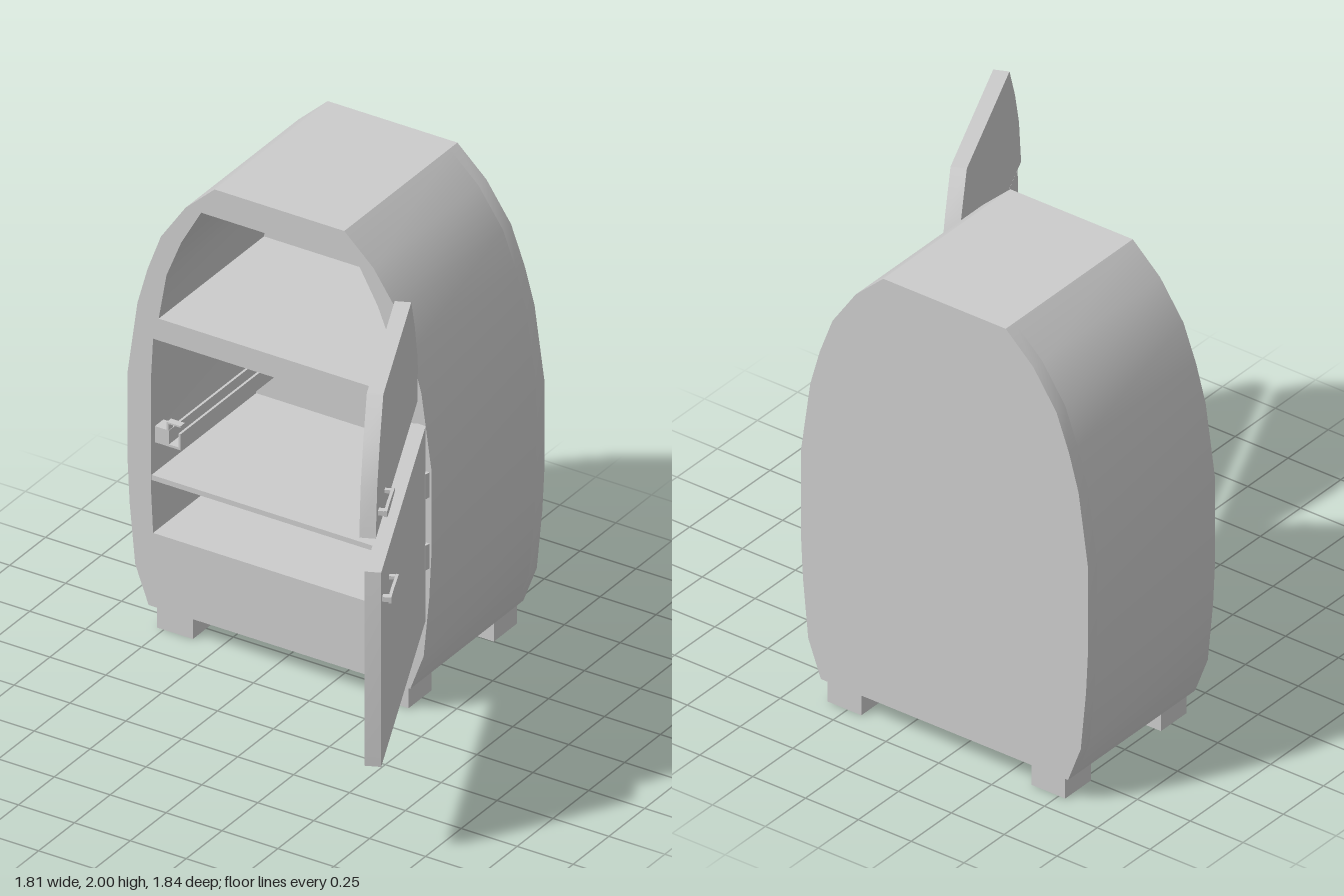
import * as THREE from 'three';
import { toCreasedNormals } from 'three/addons/utils/BufferGeometryUtils.js';

const grey = new THREE.MeshStandardMaterial({ color: 0xcccccc });

// Half widths and heights, from bottom to top
const SHELL = [[0.585, 0.1], [0.645, 0.26], [0.67, 0.52], [0.68, 0.72], [0.68, 1.08], [0.635, 1.4],
  [0.59, 1.56], [0.53, 1.72], [0.42, 1.88], [0.29, 2]];
const UPPER = [[0.54, 1.36], [0.505, 1.56], [0.44, 1.72], [0.35, 1.88]];
const LOWER = [[0.565, 0.42], [0.575, 0.62], [0.575, 1.08], [0.565, 1.265]];
const CX = -0.22, FRONT = -0.135, INNER_BACK = -0.87, BACK = -0.925, THICK = 0.063;

// Symmetric outline about x = cx
function outline(rows, cx) {
  const right = rows.map(([w, y]) => new THREE.Vector2(cx + w, y));
  const left = rows.map(([w, y]) => new THREE.Vector2(cx - w, y)).reverse();
  return [...right, ...left];
}

function add(parent, name, geometry, x = 0, y = 0, z = 0) {
  const mesh = new THREE.Mesh(geometry, grey);
  mesh.name = name;
  mesh.position.set(x, y, z);
  parent.add(mesh);
  return mesh;
}

function slab(shape, depth) {
  const g = new THREE.ExtrudeGeometry(shape, { depth, bevelEnabled: false, curveSegments: 12 });
  return toCreasedNormals(g, 0.5);
}

// Box given by its limits
function box(parent, name, x0, x1, y0, y1, z0, z1) {
  return add(parent, name, new THREE.BoxGeometry(x1 - x0, y1 - y0, z1 - z0),
    (x0 + x1) / 2, (y0 + y1) / 2, (z0 + z1) / 2);
}

// Tapered grip on two posts; local x runs back towards the hinge
function makeHandle(x, y) {
  const handle = new THREE.Group();
  handle.name = 'doorHandle';
  const grip = new THREE.Shape([[0, -0.012], [0.06, -0.017], [0.19, -0.008], [0.2, 0],
    [0.19, 0.008], [0.06, 0.017], [0, 0.014]].map(p => new THREE.Vector2(...p)));
  add(handle, 'grip', slab(grip, 0.012), 0, 0, 0.024);
  box(handle, 'post', 0.005, 0.03, -0.01, 0.01, -0.005, 0.026);
  box(handle, 'post', 0.17, 0.187, -0.007, 0.007, -0.005, 0.026);
  handle.position.set(x, y, THICK);
  return handle;
}

// Door hung by its inner hinge corner and swung wide open
function makeDoor(name, rows, halfWidth, px, pz, handleX, handleY) {
  const door = new THREE.Group();
  door.name = name;
  add(door, 'doorPanel', slab(new THREE.Shape(outline(rows, -halfWidth)), THICK));
  door.add(makeHandle(handleX, handleY));
  door.position.set(px, 0, pz);
  door.rotation.y = Math.PI - Math.atan2(0.914, 0.407);
  return door;
}

// Channel rail on a side wall; side is +1 for the left wall, -1 for the right
function makeRail(side, y) {
  const rail = new THREE.Group();
  rail.name = 'shelfRail';
  const z0 = INNER_BACK, z1 = -0.16;
  const part = (name, a, b, y0, y1, back = z0, front = z1) => {
    const xa = CX + side * (0.573 - a), xb = CX + side * (0.573 - b);
    box(rail, name, Math.min(xa, xb), Math.max(xa, xb), y + y0, y + y1, back, front);
  };
  part('railMount', 0, 0.055, 0, 0.07, z1 - 0.06, z1);
  part('railMount', 0, 0.055, 0, 0.07, z0, z0 + 0.06);
  part('railInnerWall', 0.053, 0.063, 0, 0.07);
  part('railFloor', 0.053, 0.115, 0, 0.01);
  part('railOuterWall', 0.105, 0.115, 0, 0.07);
  part('hookStem', 0.053, 0.061, 0.07, 0.105, z1 - 0.03, z1);
  part('hookTip', 0.053, 0.115, 0.098, 0.105, z1 - 0.03, z1);
  return rail;
}

export function createModel() {
  const model = new THREE.Group();
  model.name = 'openFridge';

  // Cabinet with two compartments, closed by a back panel
  const shell = new THREE.Shape(outline(SHELL, CX));
  for (const rows of [UPPER, LOWER]) shell.holes.push(new THREE.Path(outline(rows, CX)));
  add(model, 'cabinet', slab(shell, FRONT - INNER_BACK), 0, 0, INNER_BACK);
  add(model, 'backPanel', slab(new THREE.Shape(outline(SHELL, CX)), INNER_BACK - BACK), 0, 0, BACK);

  // Interior
  box(model, 'shelf', CX - 0.576, CX + 0.576, 0.645, 0.667, INNER_BACK, FRONT - 0.005);
  model.add(makeRail(-1, 0.8), makeRail(1, 0.8), makeRail(1, 1.05));

  // Feet
  for (const x of [-0.7, 0.265]) {
    for (const z of [-0.235, -0.83]) box(model, 'foot', x - 0.08, x + 0.08, 0, 0.1, z - 0.08, z + 0.08);
  }

  // Doors
  model.add(makeDoor('upperDoor', UPPER, 0.54, 0.325, -0.142, -1.03, 1.44));
  const lowerDoor = makeDoor('lowerDoor', LOWER, 0.575, 0.367, -0.131, -1.12, 1.135);
  model.add(lowerDoor);

  // Arched moulding on the inside of the lower door
  const arch = new THREE.Shape();
  arch.absarc(0, 0, 0.208, 0, Math.PI, false);
  arch.lineTo(-0.1, 0);
  arch.absarc(0, 0, 0.1, Math.PI, 0, true);
  arch.closePath();
  add(lowerDoor, 'doorArch', slab(arch, 0.027), -0.575, 0.81, -0.025);

  // Hinge barrels
  for (const [x, y, z] of [[0.35, 1.428, -0.13], [0.407, 1.015, -0.135], [0.407, 0.705, -0.135]]) {
    add(model, 'hinge', new THREE.CylinderGeometry(0.045, 0.045, 0.108, 16), x, y, z);
  }
  return model;
}
